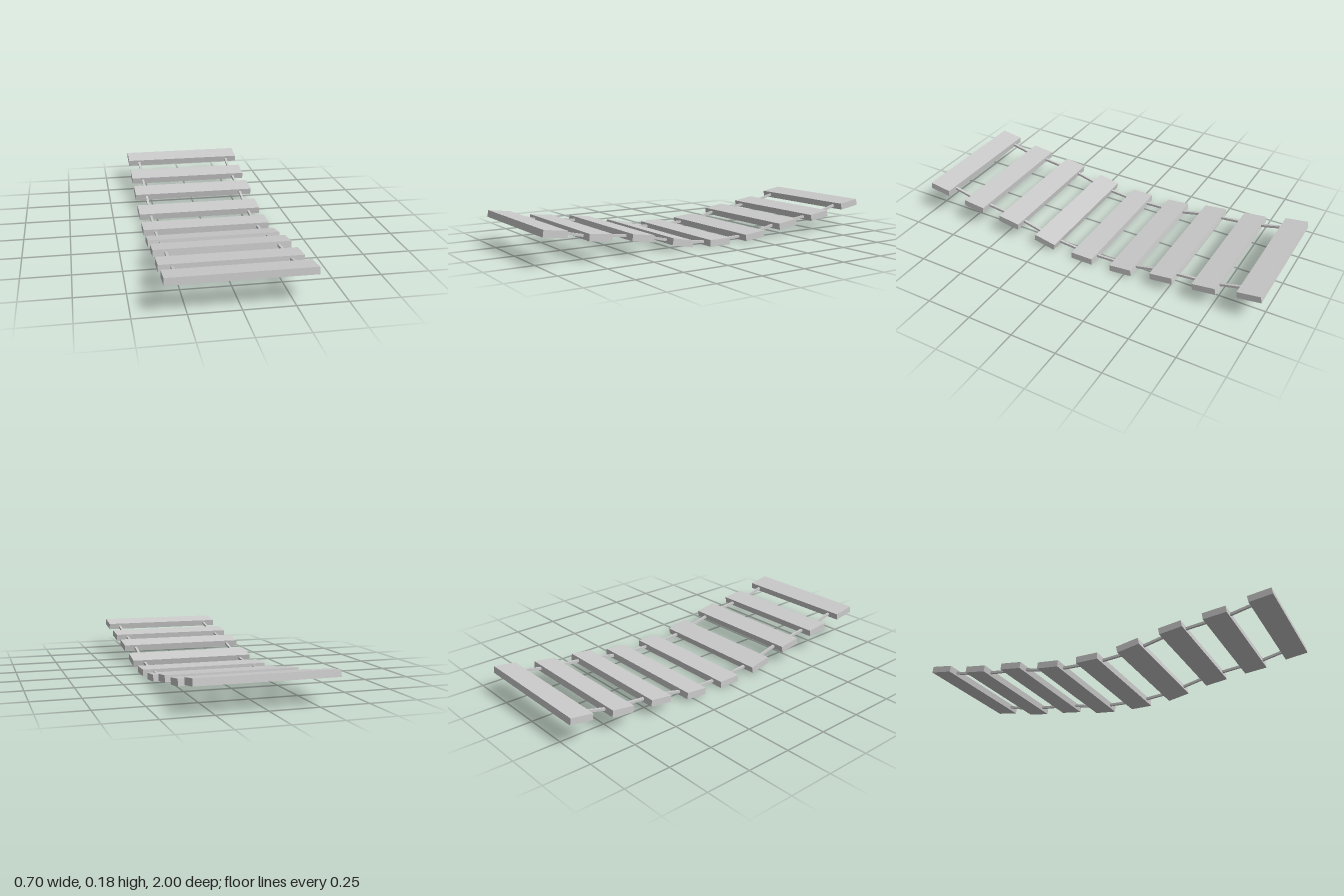
import * as THREE from 'three';

const PLANK = { width: 0.705, thick: 0.0355, depth: 0.1245 };
const SPACING = 0.2342;
const ROPE_X = 0.286;
const ROPE_SIZE = 0.013;

// Plank centre height and rise per unit of z, from back (-z) to front (+z)
const SAG = [
  [0.142, -0.15], [0.096, -0.14], [0.068, -0.13], [0.028, -0.10], [0.018, 0],
  [0.040, 0.20], [0.089, 0.15], [0.117, 0.105], [0.158, 0.137],
];

export function createModel() {
  const group = new THREE.Group();
  group.name = 'ropeBridge';
  const material = new THREE.MeshStandardMaterial({ color: 0xcccccc, flatShading: true });

  // Planks, each tilted to follow the sag
  const plankGeometry = new THREE.BoxGeometry(PLANK.width, PLANK.thick, PLANK.depth);
  const planks = SAG.map(([y, slope], i) => {
    const plank = new THREE.Mesh(plankGeometry, material);
    plank.name = `plank${i + 1}`;
    plank.position.set(0, y, (i - (SAG.length - 1) / 2) * SPACING);
    plank.rotation.x = -Math.atan(slope);
    plank.updateMatrix();
    group.add(plank);
    return plank;
  });

  // Square rope pieces joining the facing edges of neighbouring planks
  for (let i = 0; i < planks.length - 1; i++) {
    for (const side of [-1, 1]) {
      const edge = PLANK.depth / 2 - 0.002;
      const a = new THREE.Vector3(side * ROPE_X, 0, edge).applyMatrix4(planks[i].matrix);
      const b = new THREE.Vector3(side * ROPE_X, 0, -edge).applyMatrix4(planks[i + 1].matrix);
      const rope = new THREE.Mesh(new THREE.BoxGeometry(ROPE_SIZE, ROPE_SIZE, a.distanceTo(b)), material);
      rope.name = `${side > 0 ? 'left' : 'right'}Rope${i + 1}`;
      rope.position.copy(a).add(b).multiplyScalar(0.5);
      rope.rotation.x = -Math.atan2(b.y - a.y, b.z - a.z);
      group.add(rope);
    }
  }
  return group;
}
